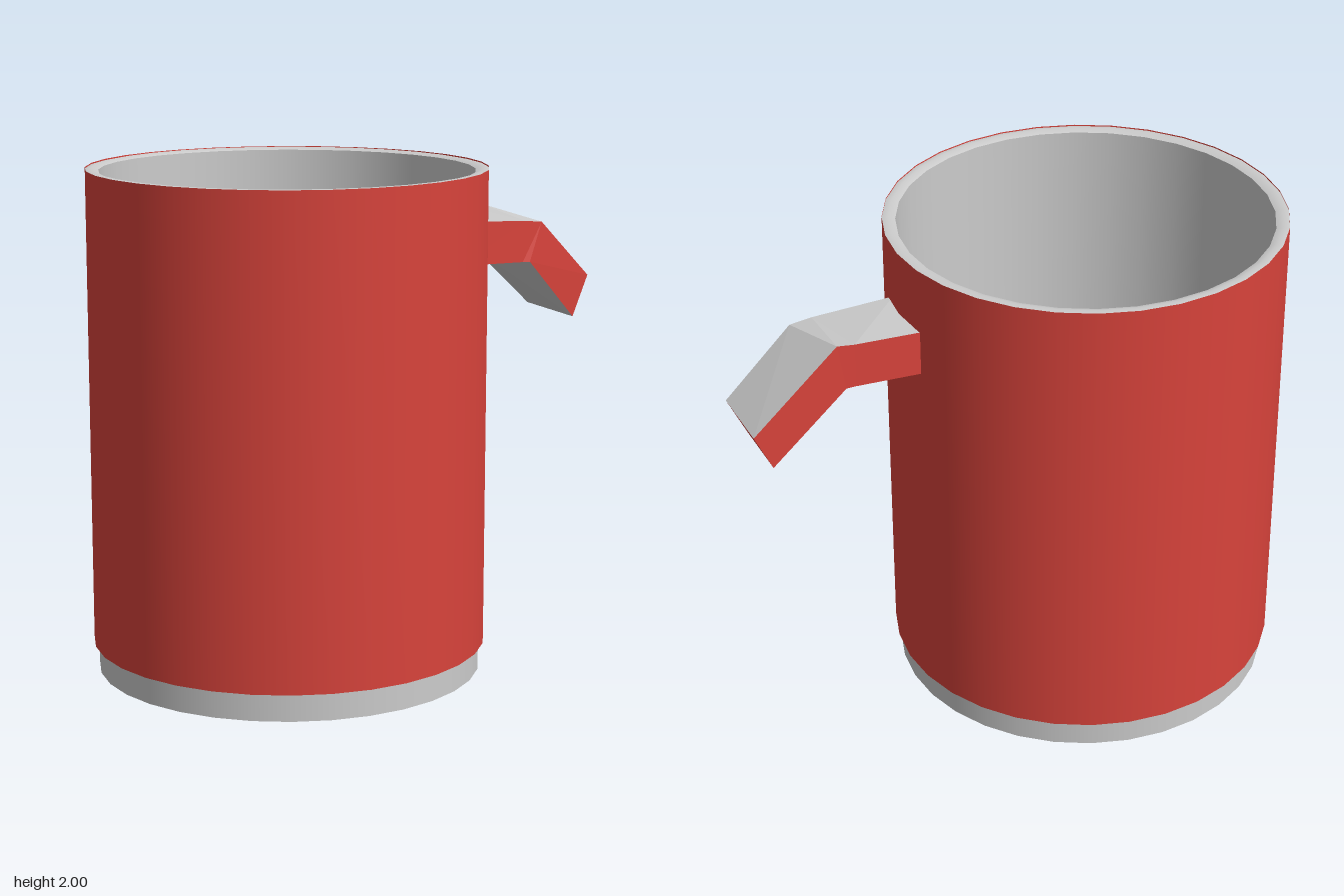
import * as THREE from 'three';

const SIDES = 32;
const red = new THREE.MeshStandardMaterial({ color: 0xd8433b, side: THREE.DoubleSide });
const grey = new THREE.MeshStandardMaterial({ color: 0xcccccc, side: THREE.DoubleSide });
const redFlat = red.clone();
const greyFlat = grey.clone();
redFlat.flatShading = greyFlat.flatShading = true;

// One turned surface from [radius, height] points
function turned(name, points, material) {
  const profile = points.map(([r, y]) => new THREE.Vector2(r, y));
  const mesh = new THREE.Mesh(new THREE.LatheGeometry(profile, SIDES), material);
  mesh.name = name;
  return mesh;
}

// Mesh from four-cornered faces, corners counter-clockwise from outside
function quads(name, faces, material) {
  const positions = faces.flatMap(([a, b, c, d]) => [a, b, c, a, c, d].flat());
  const geometry = new THREE.BufferGeometry();
  geometry.setAttribute('position', new THREE.Float32BufferAttribute(positions, 3));
  geometry.computeVertexNormals();
  const mesh = new THREE.Mesh(geometry, material);
  mesh.name = name;
  return mesh;
}

// Bent handle, built outward along +x from four-cornered cross-sections
function createHandle() {
  // Corners: top left, top right, bottom right, bottom left
  const rings = [
    [[0.75, 1.74, 0.15], [0.75, 1.74, -0.15], [0.75, 1.56, -0.15], [0.75, 1.56, 0.15]],
    [[1.08, 1.72, 0.17], [1.03, 1.75, -0.14], [1.03, 1.57, -0.14], [1.07, 1.55, 0.17]],
    [[1.17, 1.71, 0.17], [1.10, 1.76, -0.14], [1.07, 1.57, -0.14], [1.10, 1.55, 0.18]],
    [[1.45, 1.46, 0.15], [1.45, 1.46, -0.15], [1.38, 1.31, -0.15], [1.37, 1.29, 0.15]],
  ];
  const sides = [];
  const topAndBottom = [];
  for (let i = 0; i < rings.length - 1; i++) {
    for (let k = 0; k < 4; k++) {
      const n = (k + 1) % 4;
      const face = [rings[i][k], rings[i + 1][k], rings[i + 1][n], rings[i][n]];
      (k % 2 ? sides : topAndBottom).push(face);
    }
  }
  const [a, b, c, d] = rings[rings.length - 1];
  sides.push([a, d, c, b]);

  const handle = new THREE.Group();
  handle.name = 'handle';
  handle.add(
    quads('handleSides', sides, redFlat),
    quads('handleTopAndBottom', topAndBottom, greyFlat),
  );
  handle.rotation.y = 0.805;
  return handle;
}

export function createModel() {
  const mug = new THREE.Group();
  mug.name = 'mug';

  // Base with a shallow recess underneath
  mug.add(turned('underside', [[0, 0.045], [0.535, 0.04], [0.765, 0]], grey));
  mug.add(turned('baseRing', [[0.765, 0], [0.765, 0.11]], grey));
  mug.add(turned('ledge', [[0.765, 0.11], [0.785, 0.11]], grey));

  // Body, rim and inside
  mug.add(turned('outerWall', [[0.785, 0.11], [0.785, 2]], red));
  mug.add(turned('rim', [[0.785, 1.995], [0.76, 2], [0.733, 1.99]], grey));
  mug.add(turned('innerWall', [[0.733, 1.99], [0.733, 0.11]], grey));
  mug.add(turned('floor', [[0.733, 0.11], [0, 0.11]], grey));

  mug.add(createHandle());

  mug.position.set(-0.165, 0, 0.185);
  const model = new THREE.Group();
  model.name = 'model';
  model.add(mug);
  return model;
}
